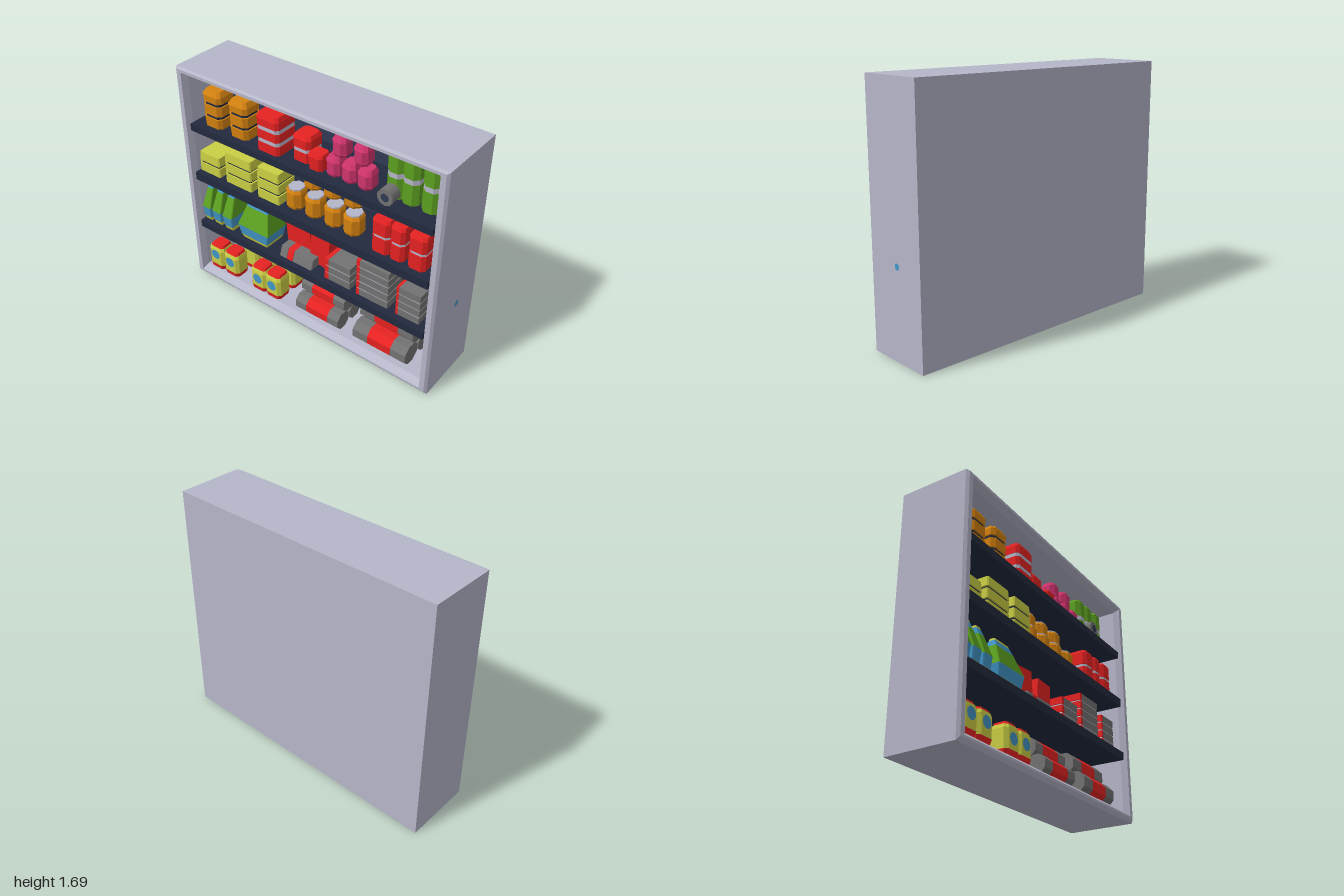
import * as THREE from 'three';

const mat = (name, color, side = THREE.FrontSide) => {
  const m = new THREE.MeshStandardMaterial({ color, side });
  m.name = name;
  return m;
};

export function createModel() {
  const silver = mat('silver', 0xb6b6ca), navy = mat('navy', 0x303a54), dark = mat('darkNavy', 0x222a3e),
    grey = mat('grey', 0x727272), red = mat('red', 0xe62222), orange = mat('orange', 0xd48210),
    yellow = mat('yellow', 0xcace44), green = mat('green', 0x5ca020), blue = mat('blue', 0x4296c8),
    pink = mat('pink', 0xd2346e);
  const root = new THREE.Group();
  root.name = 'stockedShelf';

  const add = (parent, name, geo, material, x = 0, y = 0, z = 0) => {
    const m = new THREE.Mesh(geo, material);
    m.name = name;
    m.position.set(x, y, z);
    parent.add(m);
    return m;
  };
  const group = (name, x = 0, y = 0, z = 0) => {
    const g = new THREE.Group();
    g.name = name;
    g.position.set(x, y, z);
    root.add(g);
    return g;
  };
  const box = (w, h, d) => new THREE.BoxGeometry(w, h, d);
  const flat = (tris) => {
    const g = new THREE.BufferGeometry();
    g.setAttribute('position', new THREE.Float32BufferAttribute(tris.flat(), 3));
    g.computeVertexNormals();
    return g;
  };

  // Tapered segment with a chamfered rectangular footprint; lo and hi are [width, depth, y]
  const segment = (lo, hi, c) => {
    const ring = ([w, d, y]) => {
      const a = w / 2, b = d / 2;
      return [[a, b - c], [a - c, b], [c - a, b], [-a, b - c], [-a, c - b], [c - a, -b], [a - c, -b], [a, c - b]]
        .map(([x, z]) => [x, y, z]);
    };
    const A = ring(lo), B = ring(hi), t = [];
    // Footprint starts on +x, runs to +z and around
    for (let i = 0; i < 8; i++) {
      const j = (i + 1) % 8;
      t.push(A[i], B[i], B[j], A[i], B[j], A[j]);
      t.push([0, hi[2], 0], B[j], B[i], [0, lo[2], 0], A[i], A[j]);
    }
    // Ring order 0 -> 1 goes +x to +z, so the faces above point outward
    return flat(t);
  };

  // Item made of stacked segments; layers are [height, bottom scale, top scale, material]
  const item = (name, x, y, front, w, d, c, layers) => {
    const g = group(name, x, y, front - d / 2);
    let h = 0;
    for (const [dh, s0, s1, m] of layers) {
      add(g, name + 'Layer', segment([w * s0, d * s0, h], [w * s1, d * s1, h + dh], c * Math.min(s0, s1)), m);
      h += dh;
    }
    return g;
  };

  // Cabinet shell: rectangular rings [half width, bottom, top, z] from the back, round the lip, to the inside
  const rings = [[1, 0, 1.69, -0.25], [1, 0.005, 1.69, 0.225], [0.985, 0.03, 1.68, 0.243],
    [0.95, 0.045, 1.66, 0.243], [0.93, 0.08, 1.63, 0.2], [0.93, 0.08, 1.63, -0.15]]
    .map(([w, y0, y1, z]) => [[-w, y0, z], [w, y0, z], [w, y1, z], [-w, y1, z]]);
  const shell = [];
  for (let k = 0; k < rings.length - 1; k++) {
    for (let i = 0; i < 4; i++) {
      const j = (i + 1) % 4, A = rings[k], B = rings[k + 1];
      shell.push(A[i], A[j], B[j], A[i], B[j], B[i]);
    }
  }
  const [p, q, r, s] = rings[0];
  shell.push(p, r, q, p, s, r);
  add(root, 'cabinet', flat(shell), silver);
  add(root, 'backPanel', box(1.86, 1.55, 0.01), navy, 0, 0.855, -0.147);
  for (const [y0, y1] of [[0.445, 0.5], [0.85, 0.91], [1.24, 1.29]])
    add(root, 'shelf', box(1.86, y1 - y0, 0.37), dark, 0, (y0 + y1) / 2, 0.04);
  const button = add(root, 'sideButton', new THREE.CircleGeometry(0.022, 8), blue, 1.002, 0.6, -0.03);
  button.rotation.y = Math.PI / 2;

  // Top shelf: orange jars, red tins, pink bottles, green canisters and a roll
  const R4 = 1.29;
  for (const x of [-0.78, -0.557]) item('orangeJar', x, R4, 0.175, 0.155, 0.16, 0.025, [
    [0.07, 0.95, 1, orange], [0.022, 0.88, 0.88, dark], [0.068, 1, 1, orange],
    [0.022, 0.88, 0.88, dark], [0.045, 1, 1, orange], [0.033, 1, 0.75, orange]]);
  item('redTin', -0.295, R4, 0.19, 0.18, 0.19, 0.02, [[0.065, 1, 1, red], [0.028, 0.97, 0.97, silver],
    [0.06, 1, 1, red], [0.028, 0.97, 0.97, silver], [0.05, 1, 1, red], [0.03, 1, 0.86, red]]);
  item('smallRedTin', -0.07, R4, 0.14, 0.14, 0.15, 0.025, [[0.07, 1, 1, red], [0.025, 0.97, 0.97, silver],
    [0.06, 1, 1, red], [0.025, 1, 0.8, red]]);
  item('tinyRedTin', 0.057, R4, 0.17, 0.112, 0.11, 0.02, [[0.09, 0.9, 1, red], [0.02, 1, 0.85, red]]);
  for (const [x, y, f] of [[0.178, 0, 0.16], [0.293, 0, 0.16], [0.407, 0, 0.16], [0.2, 0.13, 0.13], [0.355, 0.13, 0.13]])
    item('pinkBottle', x, R4 + y, f, 0.1, 0.12, 0.028, [[0.02, 0.85, 1, pink], [0.08, 1, 1, pink], [0.03, 1, 0.75, pink]]);
  for (const x of [0.588, 0.693, 0.825]) item('greenCanister', x, R4, 0.12, 0.112, 0.14, 0.03, [
    [0.14, 1, 1, green], [0.035, 0.97, 0.97, silver], [0.11, 1, 1, green], [0.025, 1, 0.8, green]]);
  const roll = group('roll', 0.595, R4 + 0.055, 0.165);
  add(roll, 'rollBody', new THREE.CylinderGeometry(0.055, 0.055, 0.08, 10), grey).rotation.x = Math.PI / 2;
  add(roll, 'rollCore', new THREE.CircleGeometry(0.028, 10), navy, 0, 0, 0.042);

  // Third shelf: yellow boxes, orange pots in two tiers, red cans
  const R3 = 0.91;
  for (const [x, w, n] of [[-0.835, 0.185, 2], [-0.575, 0.23, 3], [-0.315, 0.185, 3]]) {
    const layers = [];
    for (let i = 0; i < n; i++) {
      if (i) layers.push([0.016, 0.9, 0.9, dark]);
      layers.push([0.066, 1, i === n - 1 ? 0.95 : 1, yellow]);
    }
    item('yellowBox', x, R3, 0.18, w, 0.17, 0.008, layers);
  }
  const pots = [[-0.14, 0, 0.16], [0.013, 0, 0.16], [0.168, 0, 0.16], [0.315, 0, 0.16],
    [-0.048, 0.15, 0.09], [0.11, 0.15, 0.09], [0.268, 0.15, 0.09]];
  for (const [x, y, f] of pots) item('orangePot', x, R3 + y, f, 0.122, 0.13, 0.035, [
    [0.02, 0.88, 1, orange], [0.1, 1, 1, orange], [0.02, 1, 0.85, orange], [0.01, 0.8, 0.8, silver]]);
  for (const [x, w] of [[0.555, 0.125], [0.673, 0.1], [0.81, 0.12]]) item('redCan', x, R3, 0.18, w, 0.15, 0.022, [
    [0.11, 1, 1, red], [0.02, 0.93, 0.93, silver], [0.09, 1, 1, red], [0.02, 1, 0.87, red]]);

  // Second shelf: tapered striped bags; rows are [y, width scale, depth, z of centre]
  const R2 = 0.5;
  const bagRows = [[0, 0.8, 0.16, 0.1], [0.03, 0.88, 0.18, 0.1], [0.11, 1, 0.2, 0.1],
    [0.25, 0.7, 0.09, 0.1], [0.295, 0.58, 0.05, 0.1], [0.31, 0.55, 0.04, 0.1]];
  const bagMats = [yellow, blue, green, blue, yellow];
  for (const [x, w] of [[-0.892, 0.075], [-0.798, 0.082], [-0.695, 0.088], [-0.455, 0.27]]) {
    const g = group('stripedBag', x, R2, 0.1);
    bagMats.forEach((m, i) => {
      const [a, b] = [bagRows[i], bagRows[i + 1]];
      add(g, 'bagBand', segment([w * a[1], a[2], a[0]], [w * b[1], b[2], b[0]], 0.006), m);
    });
  }
  // Leaning red boxes with a bundle in front
  add(root, 'redBox', box(0.2, 0.275, 0.12), red, -0.145, 0.637, 0.02).rotation.z = 0.08;
  add(root, 'redBox', box(0.15, 0.24, 0.13), red, 0.05, 0.622, 0.04).rotation.z = -0.05;
  for (const [x, w, m] of [[-0.2, 0.06, grey], [-0.145, 0.05, red], [-0.04, 0.16, grey]])
    add(root, 'bundle', segment([w, 0.15, 0], [w, 0.1, 0.07], 0.004), m, x, R2, 0.11);
  // Grey slab stacks with a red strip at the left end
  for (const [x, w, n, strip] of [[0.25, 0.2, 3, 0.03], [0.52, 0.24, 5, 0.025], [0.785, 0.17, 4, 0.018]]) {
    const g = group('slabStack', x, R2, 0.1);
    for (let i = 0; i < n; i++) {
      const y = i * 0.058;
      add(g, 'slab', box(w - strip, 0.048, 0.16), grey, strip / 2, y + 0.024, 0);
      add(g, 'slabStrip', box(strip, 0.048, 0.16), red, (strip - w) / 2, y + 0.024, 0);
      if (i) add(g, 'slabGap', box(w * 0.94, 0.01, 0.15), silver, 0, y - 0.005, 0);
    }
  }

  // Bottom row: yellow jugs with round labels, the rear ones plain
  const jugLayers = [[0.035, 0.9, 1, red], [0.125, 1, 1, yellow], [0.025, 1, 0.88, yellow], [0.018, 0.84, 0.72, red]];
  for (const [x, y] of [[-0.842, 0.125], [-0.7, 0.12], [-0.437, 0.105], [-0.305, 0.11]]) {
    const g = item('jug', x, 0.083, 0.2, 0.138, 0.13, 0.022, jugLayers);
    add(g, 'jugLabel', new THREE.CircleGeometry(0.04, 12), blue, 0, y, 0.067);
  }
  for (const [x, top] of [[-0.64, silver], [-0.48, red], [-0.3, red]])
    item('rearJug', x, 0.083, 0.05, 0.14, 0.13, 0.022,
      [[0.035, 0.9, 1, red], [0.14, 1, 1, yellow], [0.025, 1, 0.88, yellow], [0.018, 0.84, 0.72, top]]);

  // Barrels lying in pyramids of three; bands run along x
  for (const [x0, x1, x2, x3, rad] of [[-0.09, 0, 0.18, 0.27, 0.068], [0.395, 0.51, 0.69, 0.805, 0.08]]) {
    for (const [y, z] of [[rad, 0.2 - rad], [rad, 0.2 - 3 * rad], [rad * 2.73, 0.2 - 2 * rad]]) {
      const g = group('barrel', 0, 0.08 + y, z);
      for (const [a, b, m] of [[x0, x1, grey], [x1, x2, red], [x2, x3, grey]]) {
        const geo = new THREE.CylinderGeometry(rad, rad, b - a, 8).rotateY(Math.PI / 8).rotateZ(Math.PI / 2).toNonIndexed();
        geo.computeVertexNormals();
        add(g, 'barrelBand', geo, m, (a + b) / 2);
      }
    }
  }
  return root;
}
